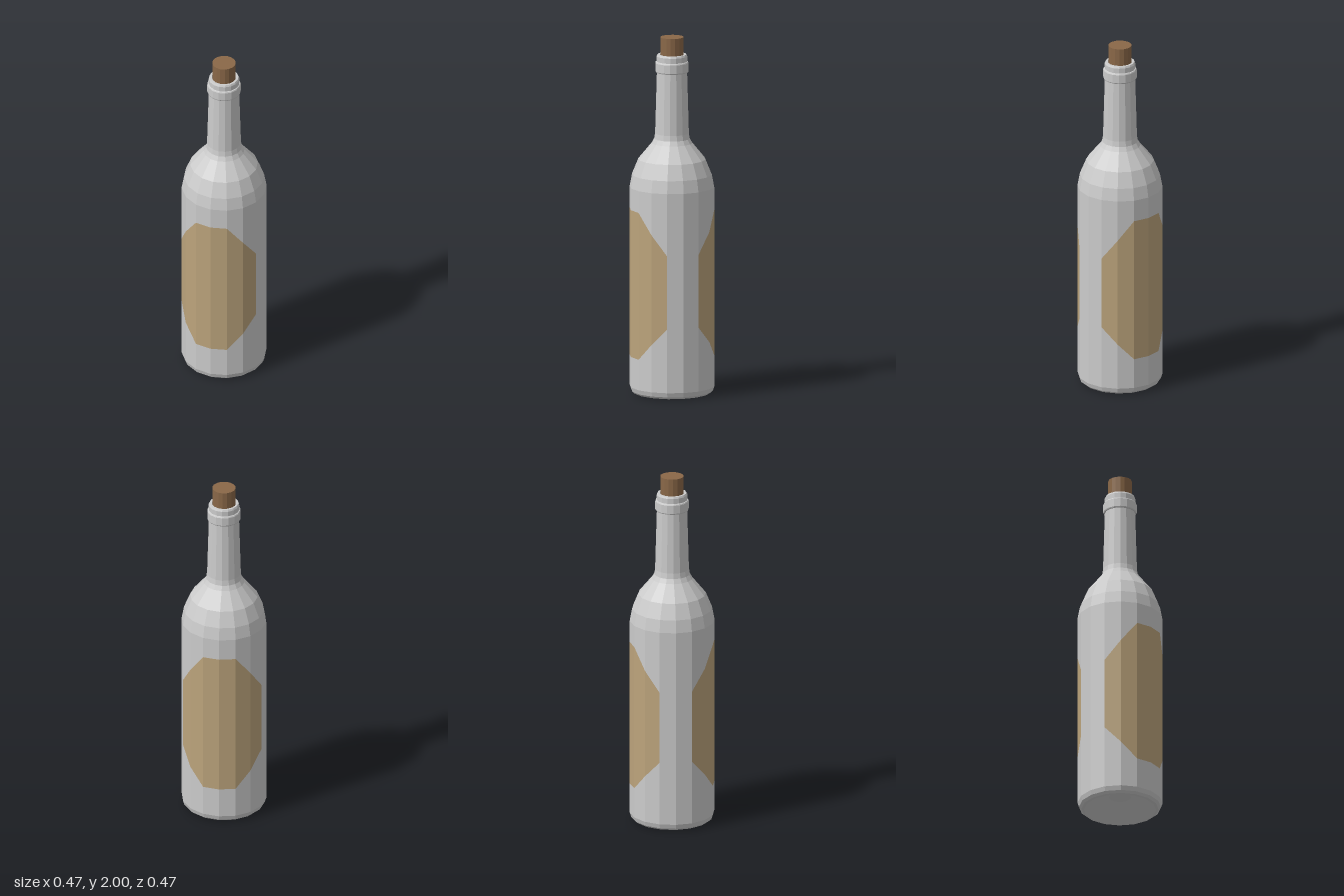
import * as THREE from 'three';

const SIDES = 16;
const STEP = (Math.PI * 2) / SIDES;

const material = (color, side = THREE.FrontSide) =>
  new THREE.MeshStandardMaterial({ color, flatShading: true, side });

function addMesh(parent, name, geometry, mat) {
  const mesh = new THREE.Mesh(geometry, mat);
  mesh.name = name;
  parent.add(mesh);
  return mesh;
}

const lathe = (points) =>
  new THREE.LatheGeometry(points.map(([r, y]) => new THREE.Vector2(r, y)), SIDES);

// Octagonal label wrapped over the bottle's facets: one column per corner
function labelGeometry(radius) {
  const columns = [[0.40, 0.81], [0.305, 0.925], [0.212, 1.038], [0.212, 1.038],
    [0.212, 1.038], [0.305, 0.925], [0.40, 0.81]];
  const positions = [];
  const index = [];
  columns.forEach(([low, high], i) => {
    const a = (i - 3) * STEP;
    const x = radius * Math.sin(a), z = radius * Math.cos(a);
    positions.push(x, low, z, x, high, z);
    if (i > 0) {
      const k = i * 2;
      index.push(k - 2, k, k + 1, k - 2, k + 1, k - 1);
    }
  });
  const geometry = new THREE.BufferGeometry();
  geometry.setAttribute('position', new THREE.Float32BufferAttribute(positions, 3));
  geometry.setIndex(index);
  geometry.computeVertexNormals();
  return geometry;
}

export function createModel() {
  const model = new THREE.Group();
  model.name = 'corkedBottle';
  const glass = material(0xcccccc, THREE.DoubleSide);
  const paper = material(0xbca47c, THREE.DoubleSide);
  const corkMaterial = material(0x8a6848);

  // Hollowed base, body, shoulder and neck
  addMesh(model, 'bottleBody', lathe([
    [0, 0.085], [0.06, 0.075], [0.13, 0.04], [0.185, 0.008], [0.2, 0], [0.213, 0.003],
    [0.227, 0.015], [0.235, 0.04], [0.235, 1.16], [0.222, 1.23], [0.187, 1.315],
    [0.113, 1.405], [0.099, 1.43], [0.094, 1.46], [0.084, 1.81],
  ]), glass);

  // Collar ring, lip and the inside of the mouth
  addMesh(model, 'collarAndLip', lathe([
    [0.084, 1.803], [0.09, 1.803], [0.093, 1.809], [0.093, 1.856], [0.09, 1.862],
    [0.085, 1.864], [0.085, 1.893], [0.08, 1.903], [0.068, 1.903], [0.065, 1.895], [0.065, 1.82],
  ]), glass);

  // Cork
  const cork = addMesh(model, 'cork', new THREE.CylinderGeometry(0.065, 0.065, 0.18, SIDES), corkMaterial);
  cork.position.y = 1.91;

  // Matching labels on front and back
  ['frontLabel', 'backLabel'].forEach((name, i) => {
    addMesh(model, name, labelGeometry(0.236), paper).rotation.y = i * Math.PI;
  });

  return model;
}
